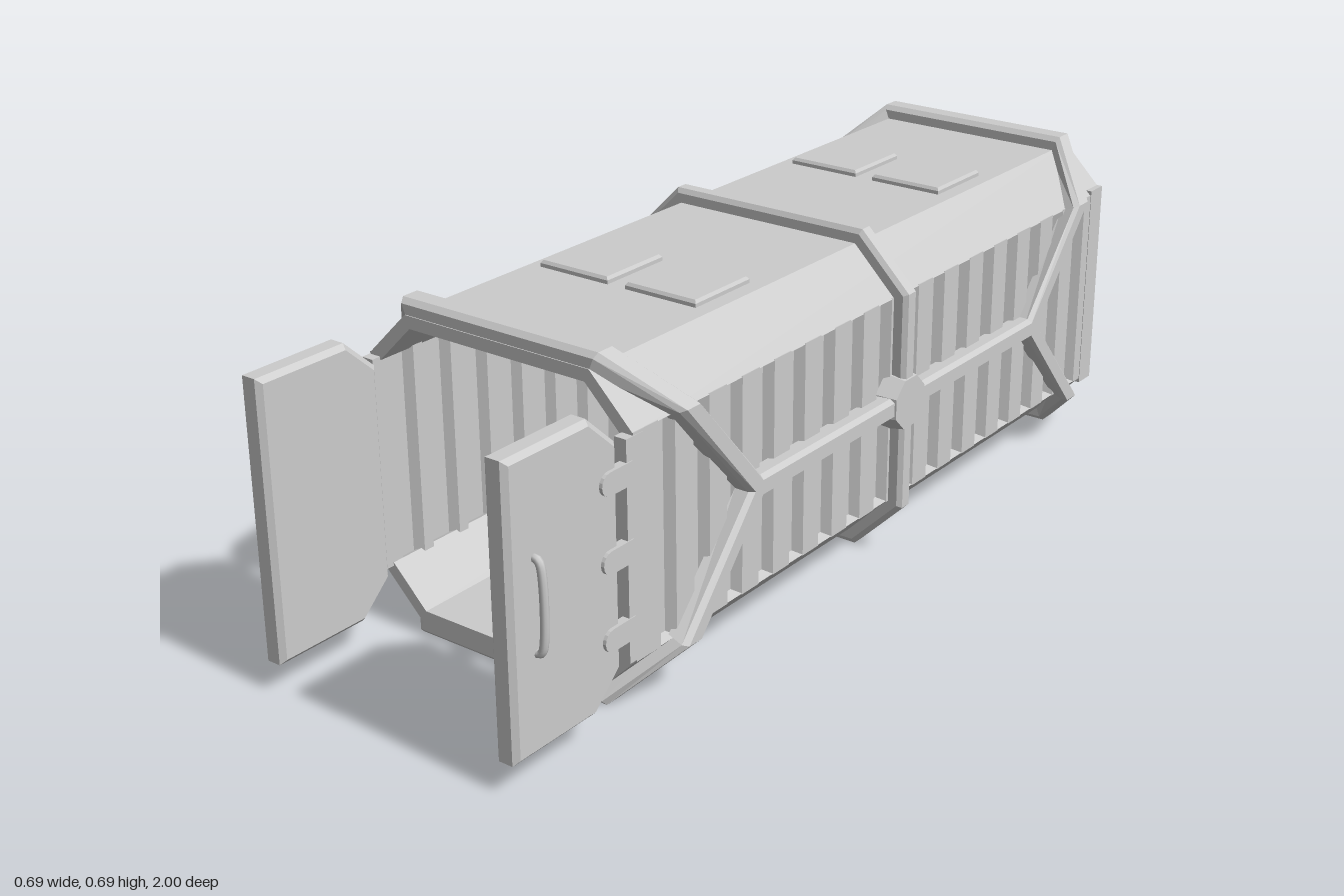
import * as THREE from 'three';

const flat = new THREE.MeshStandardMaterial({ color: 0xcccccc, flatShading: true });
const smooth = new THREE.MeshStandardMaterial({ color: 0xcccccc });
const thin = new THREE.MeshStandardMaterial({ color: 0xcccccc, flatShading: true, side: THREE.DoubleSide });

const MID_Z = -0.145; // the container body is symmetric about this plane
const MID_Y = 0.3425;

function add(parent, name, geometry, material = flat) {
  const mesh = new THREE.Mesh(geometry, material);
  mesh.name = name;
  parent.add(mesh);
  return mesh;
}

function box(parent, name, x0, x1, y0, y1, z0, z1) {
  const mesh = add(parent, name, new THREE.BoxGeometry(x1 - x0, y1 - y0, z1 - z0));
  mesh.position.set((x0 + x1) / 2, (y0 + y1) / 2, (z0 + z1) / 2);
  return mesh;
}

// Octagonal outline inset by d, counter-clockwise from the upper right side corner
function oct(d) {
  const W = 0.34 - d, H = 0.3425 - d, c = 0.112 - d * 0.586;
  const t = W - c, s = H - c;
  return [[W, s], [t, H], [-t, H], [-W, s], [-W, -s], [-t, -H], [t, -H], [W, -s]];
}

// Upper half of that outline, from side middle to side middle
const halfOct = d => [[0.34 - d, 0], ...oct(d).slice(0, 4), [d - 0.34, 0]];

// Joins equal cross-sections into a skin, with optional end caps
function loft(sections, { start = true, end = true, closed = false } = {}) {
  const pos = [], n = sections[0].length, count = sections.length;
  const tri = (a, b, c) => pos.push(...a, ...b, ...c);
  for (let k = 0; k < (closed ? count : count - 1); k++) {
    const a = sections[k], b = sections[(k + 1) % count];
    for (let i = 0; i < n; i++) {
      const j = (i + 1) % n;
      tri(a[i], b[i], b[j]);
      tri(a[i], b[j], a[j]);
    }
  }
  const first = sections[0], last = sections[count - 1];
  for (let i = 1; i < n - 1 && !closed; i++) {
    if (start) tri(first[0], first[i], first[i + 1]);
    if (end) tri(last[0], last[i + 1], last[i]);
  }
  const g = new THREE.BufferGeometry();
  g.setAttribute('position', new THREE.Float32BufferAttribute(pos, 3));
  g.computeVertexNormals();
  return g;
}

// Bevelled frame bar following an octagonal path; zs gives the z of each corner
function frameBar(outline, zs, w, opts) {
  const profile = [[0.04, -w], [0.01, -w], [0, -w * 0.65], [0, w * 0.65], [0.01, w], [0.04, w]];
  const paths = profile.map(([d]) => outline(d));
  return loft(zs.map((z, i) => profile.map(([, dz], k) => [...paths[k][i], z + dz])), opts);
}

function shapeOf(points) {
  return new THREE.Shape(points.map(p => new THREE.Vector2(...p)));
}

// Corrugated side wall, drawn as a plan outline and extruded upwards
function corrugatedWall() {
  const outer = [], pitch = 0.0985, xOut = 0.31, xIn = 0.291;
  outer.push([xOut, -0.685]);
  for (let k = 8; k >= -8; k--) {
    const z = MID_Z + k * pitch;
    if (k < 8) outer.push([xIn, -(z + 0.037)]);
    outer.push([xOut, -(z + 0.026)], [xOut, -(z - 0.026)]);
    if (k > -8) outer.push([xIn, -(z - 0.037)]);
  }
  outer.push([xOut, 0.975]);
  const inner = outer.map(([x, v]) => [x - 0.012, v]).reverse();
  const g = new THREE.ExtrudeGeometry(shapeOf([...outer, ...inner]), { depth: 0.44, bevelEnabled: false });
  return g.rotateX(-Math.PI / 2).translate(0, -0.22, 0);
}

// Everything on the +x side; the other side is its mirror image
function buildSide() {
  const side = new THREE.Group();
  add(side, 'corrugatedWall', corrugatedWall());

  // Vertical posts at both ends of the wall
  box(side, 'doorPost', 0.285, 0.311, -0.215, 0.215, 0.66, 0.705);
  box(side, 'rearPost', 0.285, 0.311, -0.23, 0.23, -0.985, -0.935);

  // Horizontal brace and its centre boss
  const half = 0.022;
  const brace = [[0.3, -half], [0.33, -half], [0.34, -half * 0.65], [0.34, half * 0.65], [0.33, half], [0.3, half]];
  add(side, 'sideBrace', loft([0.37, -0.66].map(z => brace.map(([x, y]) => [x, y, z]))));
  const boss = add(side, 'braceBoss', new THREE.CylinderGeometry(0.056, 0.064, 0.045, 8));
  boss.geometry.rotateY(Math.PI / 8).rotateZ(-Math.PI / 2);
  boss.position.set(0.321, 0, MID_Z);

  // Open door with cut corners on the hinge edge
  const b = 0.01;
  const outline = shapeOf([
    [-1 + b, -0.28 + b], [-0.795, -0.28 + b], [-0.72 - b, -0.21],
    [-0.72 - b, 0.21], [-0.795, 0.28 - b], [-1 + b, 0.28 - b],
  ]);
  const door = new THREE.ExtrudeGeometry(outline, {
    depth: 0.03, bevelSize: b, bevelThickness: b, bevelSegments: 1,
  });
  add(side, 'door', door.rotateY(Math.PI / 2).translate(0.266, 0, 0));

  // Door handle
  const pts = [[0.3, -0.088], [0.311, -0.088], [0.319, -0.078], [0.319, 0.078], [0.311, 0.088], [0.3, 0.088]];
  const curve = new THREE.CatmullRomCurve3(pts.map(([x, y]) => new THREE.Vector3(x, y, 0.938)));
  add(side, 'doorHandle', new THREE.TubeGeometry(curve, 32, 0.008, 8), smooth);

  // Hinges
  for (const y of [-0.147, 0.003, 0.15]) {
    box(side, 'hingeStrap', 0.296, 0.313, y - 0.022, y + 0.022, 0.69, 0.75);
    const knuckle = add(side, 'hingeEnd', new THREE.CylinderGeometry(0.022, 0.022, 0.017, 16));
    knuckle.rotation.z = Math.PI / 2;
    knuckle.position.set(0.3045, y, 0.75);
  }
  return side;
}

// Roof or floor half: sloped shell, end frames and their diagonal braces
function buildHalf(shellName, frameName) {
  const part = new THREE.Group();
  const section = shapeOf([...oct(0.03).slice(0, 4), ...oct(0.055).slice(0, 4).reverse()]);
  const shell = new THREE.ExtrudeGeometry(section, { depth: 1.67, bevelEnabled: false });
  add(part, shellName, shell.translate(0, 0, -0.985));
  for (const s of [1, -1]) {
    const zs = [0.5, 0.7, 0.8, 0.8, 0.7, 0.5].map(v => MID_Z + s * v);
    add(part, frameName, frameBar(halfOct, zs, 0.028));
  }
  return part;
}

export function createModel() {
  const model = new THREE.Group();
  model.name = 'cargoContainer';
  const body = new THREE.Group();
  body.name = 'body';
  body.position.y = MID_Y;
  model.add(body);

  // Roof and floor
  const roof = buildHalf('roofShell', 'roofFrame');
  const floor = buildHalf('floorShell', 'floorFrame');
  roof.name = 'roof';
  floor.name = 'floor';
  floor.rotation.z = Math.PI;
  body.add(roof, floor);

  // Middle hoop
  add(body, 'middleHoop', frameBar(oct, Array(8).fill(MID_Z), 0.019, { closed: true }));

  // Pressed rear panel, open towards the inside
  const ring = (d, z) => oct(d).map(p => [...p, z]);
  add(body, 'rearPanel', loft([ring(0.052, -0.975), ring(0.055, -0.985), ring(0.075, -1)], { start: false }), thin);

  // Side walls with doors
  for (const s of [1, -1]) {
    const side = buildSide();
    side.name = s > 0 ? 'leftSide' : 'rightSide';
    side.scale.x = s;
    body.add(side);
  }

  // Roof hatches
  for (const x of [-0.107, 0.1]) {
    for (const z of [-0.572, 0.262]) {
      const hatch = loft([[0.0825, 0.3], [0.0825, 0.32], [0.078, 0.326]].map(([r, y]) =>
        [[x - r, y, z - r], [x + r, y, z - r], [x + r, y, z + r], [x - r, y, z + r]]));
      add(body, 'roofHatch', hatch);
    }
  }
  return model;
}
